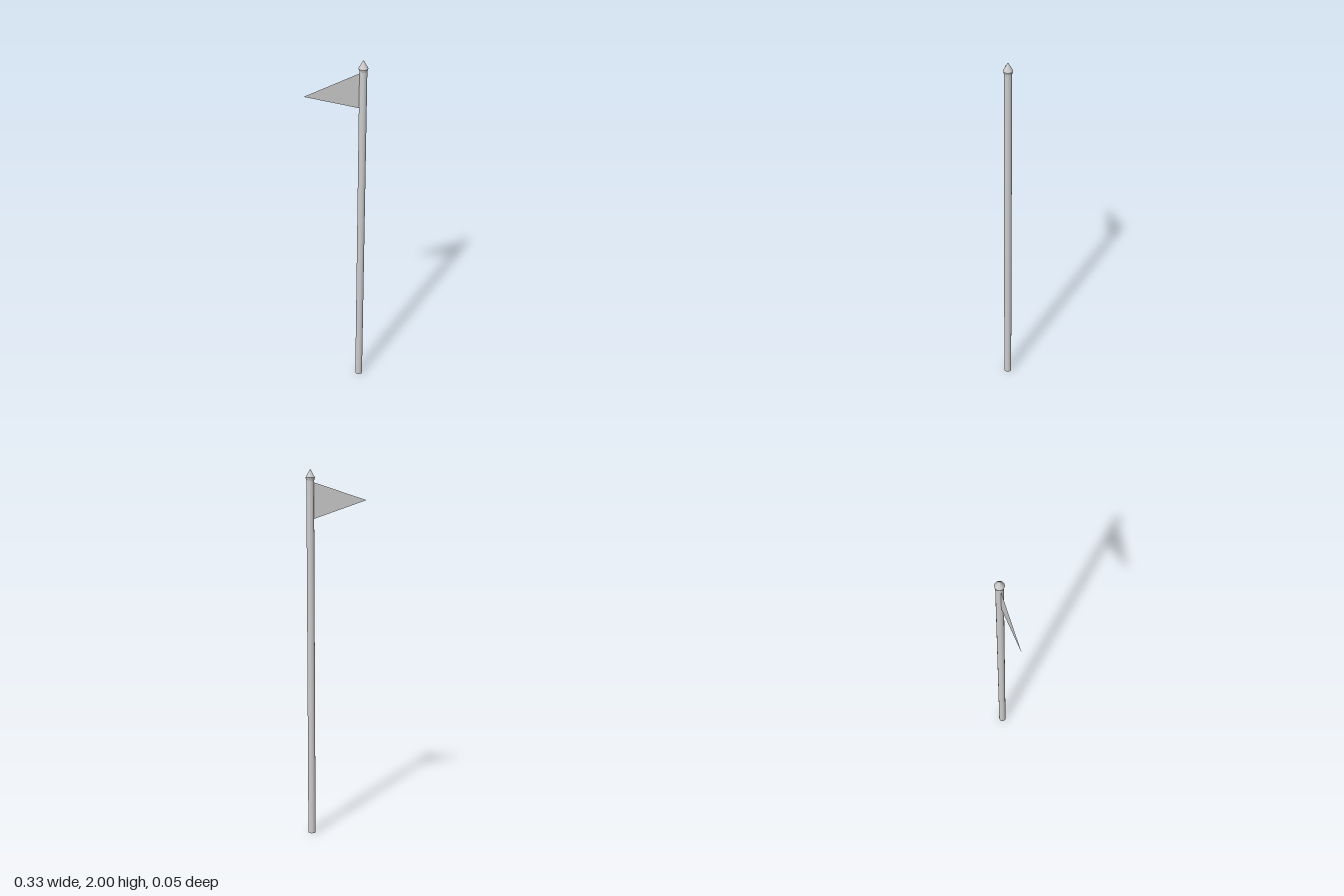
import * as THREE from 'three';

export function createModel() {
  const group = new THREE.Group();
  const poleX = 0.14;
  const grey = new THREE.MeshStandardMaterial({ color: 0xcccccc });
  const cloth = new THREE.MeshStandardMaterial({ color: 0xcccccc, side: THREE.DoubleSide });

  const add = (name, geometry, material, x = 0, y = 0) => {
    const mesh = new THREE.Mesh(geometry, material);
    mesh.name = name;
    mesh.position.set(x, y, 0);
    group.add(mesh);
  };

  // Round pole, closed at the bottom
  const poleHeight = 1.945;
  add('pole', new THREE.CylinderGeometry(0.02, 0.02, poleHeight, 32), grey, poleX, poleHeight / 2);

  // Pointed finial: short flared collar below a cone
  add('finialCollar', new THREE.CylinderGeometry(0.025, 0.02, 0.015, 32), grey, poleX, 1.9475);
  add('finialPoint', new THREE.ConeGeometry(0.025, 0.045, 32), grey, poleX, 1.9775);

  // Thin triangular pennant
  const pennant = new THREE.Shape([
    new THREE.Vector2(0.122, 1.93),
    new THREE.Vector2(-0.165, 1.835),
    new THREE.Vector2(0.122, 1.74),
  ]);
  add('pennant', new THREE.ShapeGeometry(pennant), cloth);

  return group;
}
